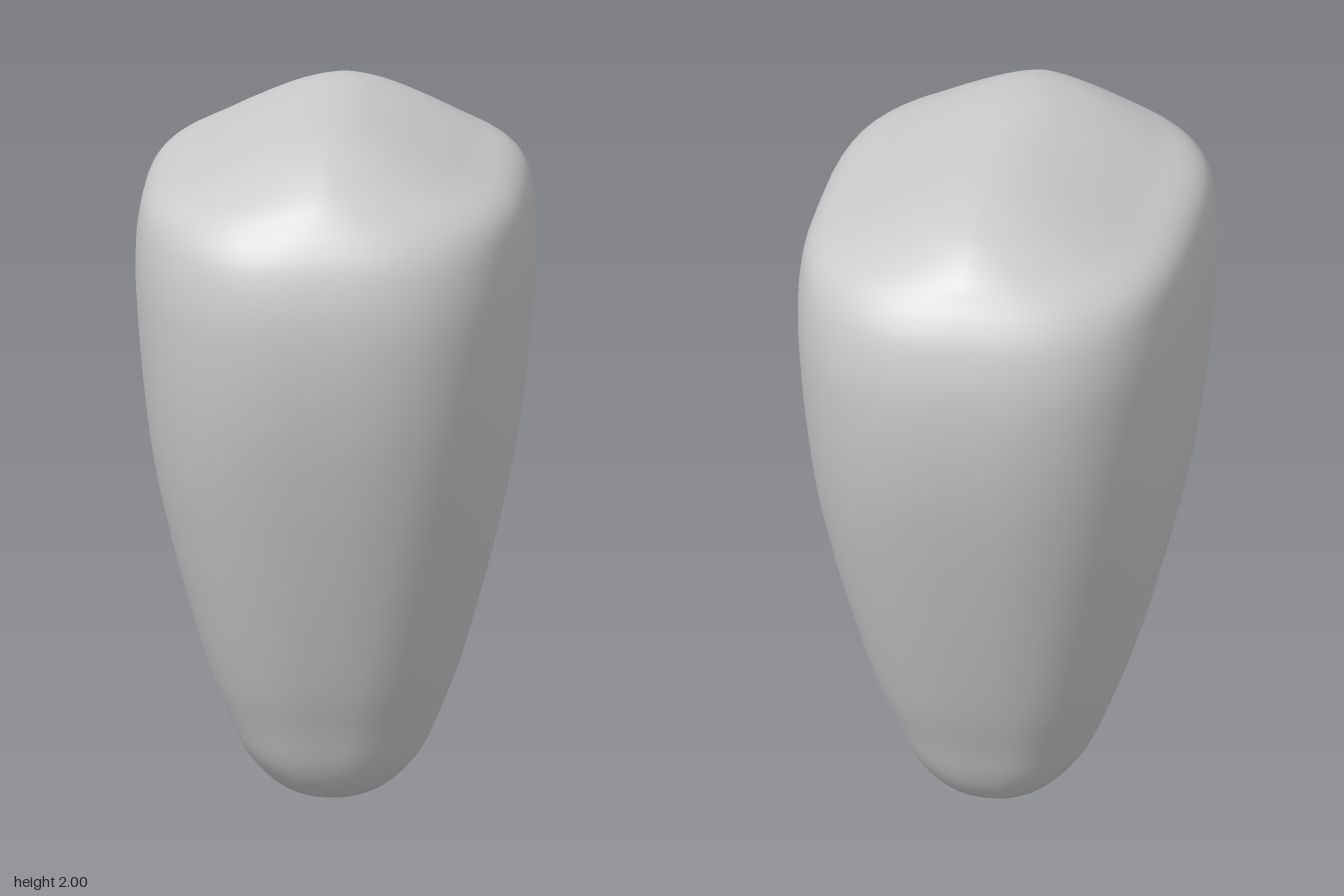
import * as THREE from 'three';

// Half-width (x), height (y) and half-depth (z) of the horizontal slices, bottom to top
const SLICES = [
  [0, 0, 0], [0.1, 0, 0.26], [0.15, 0.015, 0.3], [0.2, 0.05, 0.345], [0.26, 0.12, 0.39],
  [0.31, 0.23, 0.435], [0.36, 0.36, 0.49], [0.43, 0.6, 0.575], [0.48, 0.8, 0.64],
  [0.52, 1, 0.7], [0.545, 1.2, 0.75], [0.562, 1.4, 0.78], [0.57, 1.56, 0.783],
  [0.563, 1.69, 0.757], [0.543, 1.76, 0.725], [0.5, 1.806, 0.695], [0.4, 1.855, 0.66],
  [0.3, 1.905, 0.605], [0.2, 1.95, 0.53], [0.1, 1.985, 0.39], [0.04, 1.997, 0.22], [0, 2, 0],
];
const SIDES = 72;

const signedPower = (v, p) => Math.sign(v) * Math.pow(Math.abs(v), p);

// Smooth skin over rounded slices; the slices turn lens-shaped towards the crown
function bodyGeometry() {
  const curve = new THREE.CatmullRomCurve3(SLICES.map((s) => new THREE.Vector3(...s)));
  const rows = curve.getPoints((SLICES.length - 1) * 4);
  const positions = [];
  const index = [];
  rows.forEach((row, i) => {
    const y = THREE.MathUtils.clamp(row.y, 0, 2);
    const crown = THREE.MathUtils.smoothstep(y, 1.65, 1.92);
    const px = THREE.MathUtils.lerp(2.5, 1.6, crown);
    const pz = THREE.MathUtils.lerp(3, 4, crown);
    for (let j = 0; j < SIDES; j++) {
      const angle = (j / SIDES) * Math.PI * 2;
      positions.push(
        Math.max(row.x, 0) * signedPower(Math.cos(angle), 2 / px),
        y,
        Math.max(row.z, 0) * signedPower(Math.sin(angle), 2 / pz),
      );
      if (i === rows.length - 1) continue;
      const a = i * SIDES + j;
      const b = i * SIDES + ((j + 1) % SIDES);
      index.push(a, a + SIDES, b, b, a + SIDES, b + SIDES);
    }
  });
  const geometry = new THREE.BufferGeometry();
  geometry.setAttribute('position', new THREE.Float32BufferAttribute(positions, 3));
  geometry.setIndex(index);
  geometry.computeVertexNormals();
  return geometry;
}

export function createModel() {
  const group = new THREE.Group();
  const body = new THREE.Mesh(bodyGeometry(), new THREE.MeshStandardMaterial({ color: 0xcccccc }));
  body.name = 'taperedBody';
  group.add(body);
  return group;
}
